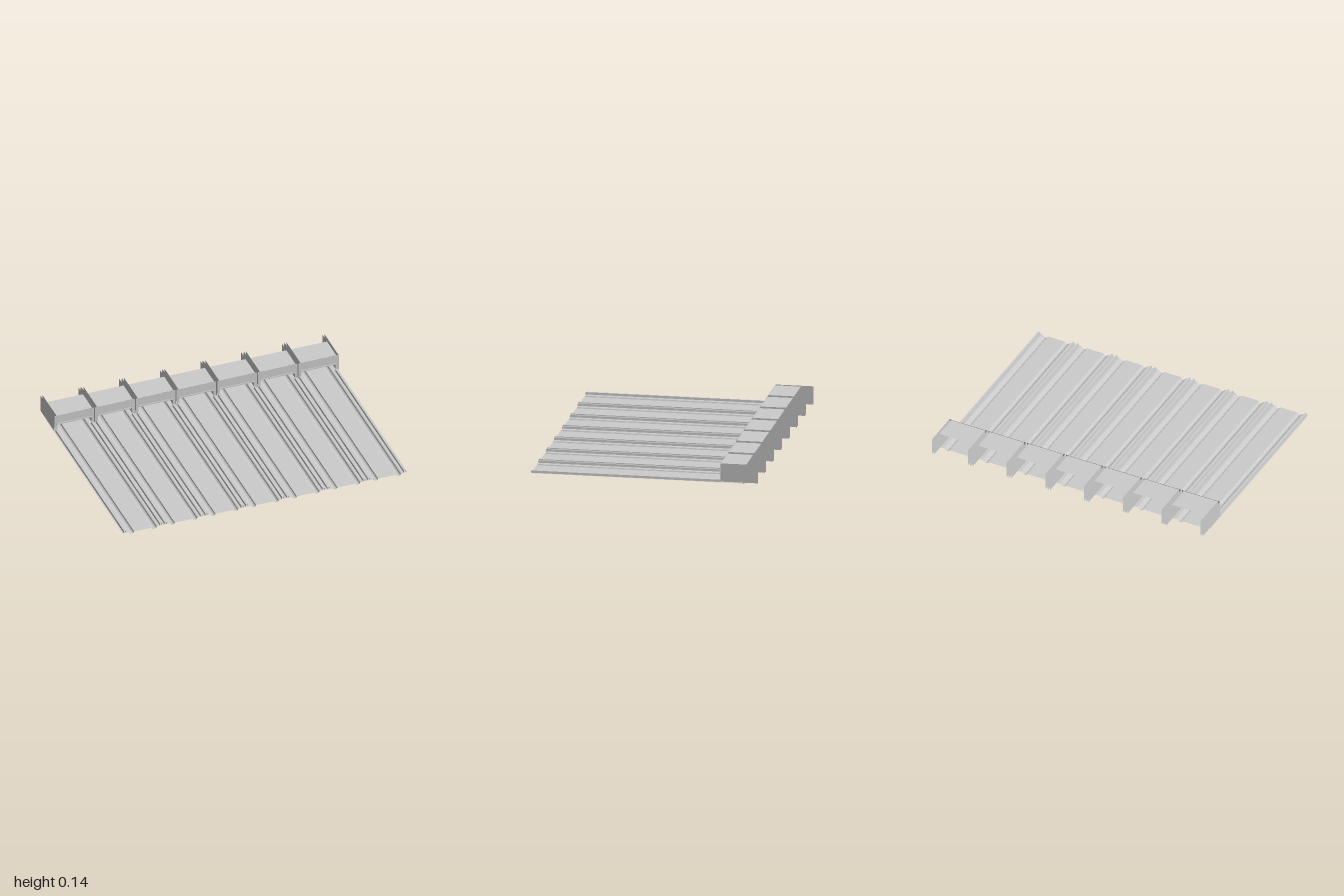
import * as THREE from 'three';

const material = new THREE.MeshStandardMaterial({ color: 0xcccccc, flatShading: true, side: THREE.DoubleSide });
const LANES = 7, PITCH = 2 / LANES;
const FRONT = 0.755, HOOD = -0.51, FLOOR_BACK = -0.66, FIN_BACK = -0.76;

function add(parent, name, geometry, x = 0, y = 0, z = 0) {
  const mesh = new THREE.Mesh(geometry, material);
  mesh.name = name;
  mesh.position.set(x, y, z);
  parent.add(mesh);
  return mesh;
}

// Open sheet: an x/y cross-section swept straight from zFront to zBack.
function sheet(section, zFront, zBack) {
  const position = [], index = [];
  section.forEach(([x, y], i) => {
    position.push(x, y, zFront, x, y, zBack);
    if (i) {
      const a = 2 * i - 2;
      index.push(a, a + 2, a + 3, a, a + 3, a + 1);
    }
  });
  const g = new THREE.BufferGeometry();
  g.setAttribute('position', new THREE.Float32BufferAttribute(position, 3));
  g.setIndex(index);
  g.computeVertexNormals();
  return g;
}

const mirrored = half => [...half.map(([x, y]) => [-x, y]).reverse(), ...half];

// Flat lane, round gutters and the low shelf beside them
const floorSection = mirrored([
  [0.062, 0.012], [0.066, 0.004], [0.074, 0.0], [0.085, 0.0], [0.093, 0.004],
  [0.097, 0.012], [0.103, 0.015], [PITCH / 2, 0.015],
]);

// Raised rail on the shelf
const railSection = [[0.118, 0.015], [0.12, 0.03], [0.132, 0.03], [0.134, 0.015]];

// Post face that widens into a rounded foot and a rounded upper corner
function postShape(side) {
  const s = new THREE.Shape();
  s.moveTo(side * 0.139, 0.015);
  s.lineTo(side * 0.139, 0.14);
  s.lineTo(side * 0.124, 0.14);
  s.lineTo(side * 0.11, 0.072);
  s.quadraticCurveTo(side * 0.119, 0.07, side * 0.12, 0.06);
  s.lineTo(side * 0.12, 0.034);
  s.quadraticCurveTo(side * 0.119, 0.022, side * 0.108, 0.015);
  return new THREE.ShapeGeometry(s, 4);
}

function createLane() {
  const lane = new THREE.Group();
  lane.name = 'lane';
  add(lane, 'laneFloor', sheet(floorSection, FRONT, FLOOR_BACK));

  // Hood over the far end: top sheet, front panel and lower lip
  const depth = 0.17;
  add(lane, 'hoodTop', new THREE.PlaneGeometry(0.252, depth).rotateX(-Math.PI / 2), 0, 0.138, HOOD - depth / 2);
  add(lane, 'hoodFront', new THREE.PlaneGeometry(0.252, 0.068), 0, 0.105, HOOD + 0.002);
  add(lane, 'hoodLip', new THREE.BoxGeometry(0.25, 0.008, 0.007), 0, 0.074, HOOD + 0.004);

  for (const side of [-1, 1]) {
    add(lane, 'rail', sheet(railSection.map(([x, y]) => [side * x, y]), FRONT, HOOD));
    add(lane, 'post', postShape(side), 0, 0, HOOD + 0.003);

    // Thin partition panels running back past the hood
    for (const x of [0.126, 0.1405]) {
      const length = HOOD - FIN_BACK;
      add(lane, 'partition', new THREE.PlaneGeometry(length, 0.12).rotateY(Math.PI / 2),
        side * x, 0.08, (HOOD + FIN_BACK) / 2);
    }
  }
  return lane;
}

export function createModel() {
  const model = new THREE.Group();
  model.name = 'laneHall';
  for (let i = 0; i < LANES; i++) {
    const lane = createLane();
    lane.position.x = (i - (LANES - 1) / 2) * PITCH;
    model.add(lane);
  }
  return model;
}
